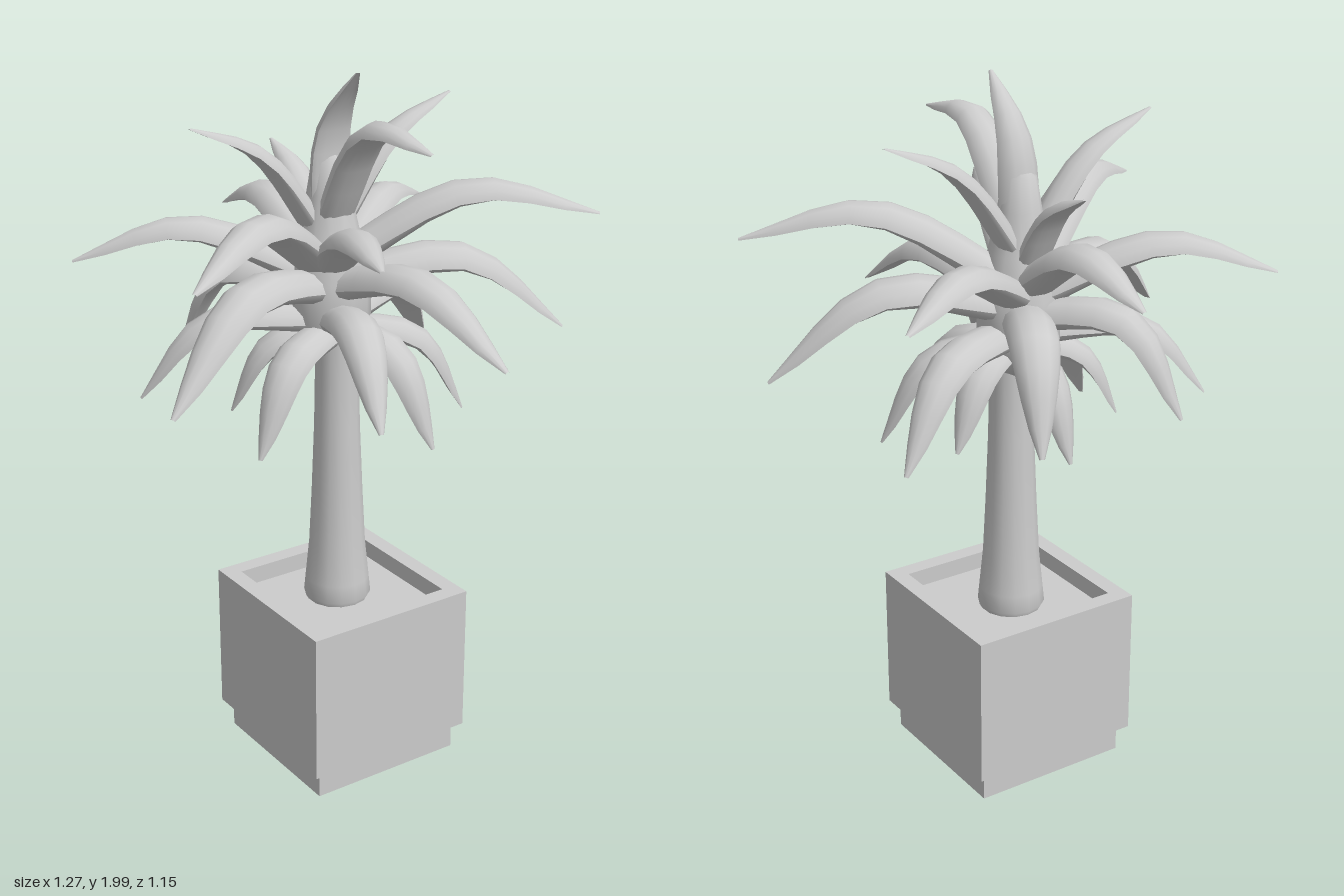
import * as THREE from 'three';

const grey = new THREE.MeshStandardMaterial({ color: 0xcccccc });
grey.name = 'plain grey';

// relative half-width of a frond from its root to its tip
const WIDTHS = [0.85, 0.92, 0.98, 1, 0.96, 0.85, 0.67, 0.43, 0.1];

// Arched leaf swept along a curve: a full, keeled root thinning to a crescent tip
function frondGeometry(root, mid, tip, halfWidth) {
  const curve = new THREE.CatmullRomCurve3([root, mid, tip]);
  const heading = tip.clone().sub(root).setY(0).normalize();
  const side = heading.clone().cross(new THREE.Vector3(0, 1, 0));
  const steps = WIDTHS.length - 1, arc = 6, ring = 2 * (arc + 1);
  const pos = [], index = [];
  for (let i = 0; i <= steps; i++) {
    const t = i / steps;
    const p = curve.getPointAt(t);
    const normal = side.clone().cross(curve.getTangentAt(t)).normalize();
    const w = halfWidth * WIDTHS[i];
    const keel = Math.min(0.2, 1.1 * t - 0.8);
    for (let j = 0; j < ring; j++) {
      const under = j > arc;
      const a = Math.PI * (under ? ring - 1 - j : j) / arc;
      const h = w * (0.8 * Math.sin(a) * (under ? keel : 1) - 0.3);
      const v = p.clone().addScaledVector(side, w * Math.cos(a)).addScaledVector(normal, h);
      pos.push(v.x, v.y, v.z);
    }
  }
  for (let i = 0; i < steps; i++) {
    for (let j = 0; j < ring - 1; j++) {
      if (j === arc) continue;
      const a = i * ring + j, b = a + ring;
      index.push(a, b, a + 1, b, b + 1, a + 1);
    }
  }
  const g = new THREE.BufferGeometry();
  g.setAttribute('position', new THREE.Float32BufferAttribute(pos, 3));
  g.setIndex(index);
  g.computeVertexNormals();
  return g;
}

// each frond: tip x, y, z, root height, mid height, mid fraction, half-width
const TOP = [
  [0, 1.99, 0.07, 1.5, 1.83, 0.2, 0.06],
  [0, 1.84, 0.39, 1.55, 1.85, 0.46, 0.06],
  [0, 1.74, -0.35, 1.48, 1.67, 0.5, 0.05],
  [0.41, 1.87, -0.08, 1.52, 1.77, 0.48, 0.048],
  [-0.41, 1.87, -0.08, 1.52, 1.77, 0.48, 0.048],
];
const UPPER = [
  [0.63, 1.58, 0.31, 1.45, 1.65, 0.52, 0.068],
  [-0.63, 1.58, 0.31, 1.45, 1.65, 0.52, 0.068],
  [0.53, 1.5, -0.38, 1.42, 1.56, 0.55, 0.065],
  [-0.59, 1.47, -0.42, 1.42, 1.56, 0.55, 0.065],
  [-0.22, 1.61, 0.49, 1.45, 1.61, 0.55, 0.065],
  [-0.02, 1.51, -0.58, 1.45, 1.59, 0.52, 0.07],
];
const MIDDLE = [
  [0.63, 1.22, 0.18, 1.4, 1.45, 0.55, 0.075],
  [-0.63, 1.22, 0.18, 1.4, 1.45, 0.55, 0.075],
  [0.11, 1.31, 0.57, 1.4, 1.47, 0.55, 0.072],
  [0.21, 1.14, -0.48, 1.38, 1.39, 0.66, 0.068],
  [-0.24, 1.14, -0.47, 1.38, 1.39, 0.66, 0.068],
];
const LOWER = [
  [0.48, 1.08, -0.27, 1.32, 1.31, 0.64, 0.065],
  [-0.48, 1.1, -0.27, 1.32, 1.31, 0.64, 0.065],
  [-0.16, 1.15, 0.41, 1.32, 1.35, 0.6, 0.065],
  [0.34, 1.01, 0.1, 1.29, 1.24, 0.62, 0.06],
  [-0.33, 1.01, 0.1, 1.29, 1.24, 0.62, 0.06],
  [0.12, 0.99, 0.26, 1.29, 1.24, 0.62, 0.065],
  [0.26, 1.05, -0.16, 1.29, 1.24, 0.62, 0.055],
  [-0.26, 1.05, -0.16, 1.29, 1.24, 0.62, 0.055],
  [-0.03, 0.99, -0.27, 1.29, 1.22, 0.62, 0.055],
];

export function createModel() {
  const model = new THREE.Group();
  model.name = 'pottedPalm';
  const add = (name, geometry, x, y, z, parent = model) => {
    const mesh = new THREE.Mesh(geometry, grey);
    mesh.name = name;
    mesh.position.set(x, y, z);
    parent.add(mesh);
  };

  // square planter: plinth, open box wall and soil
  add('planterPlinth', new THREE.BoxGeometry(0.465, 0.08, 0.465), -0.004, 0.04, 0);
  const square = (path, r) => path.moveTo(-r, -r).lineTo(r, -r).lineTo(r, r).lineTo(-r, r).closePath();
  const wall = square(new THREE.Shape(), 0.257);
  wall.holes.push(square(new THREE.Path(), 0.208));
  const wallGeometry = new THREE.ExtrudeGeometry(wall, { depth: 0.437, bevelEnabled: false });
  wallGeometry.rotateX(-Math.PI / 2);
  add('planterWall', wallGeometry, -0.005, 0.08, 0);
  add('soil', new THREE.BoxGeometry(0.42, 0.385, 0.42), -0.005, 0.2735, 0);

  // tapered trunk with a flared foot
  const trunk = [[0.08, 0.45], [0.096, 0.48], [0.091, 0.53], [0.08, 0.64], [0.072, 0.8],
    [0.064, 1.0], [0.06, 1.2], [0.06, 1.4]].map(([r, y]) => new THREE.Vector2(r, y));
  add('trunk', new THREE.LatheGeometry(trunk, 14), -0.003, 0, -0.022);

  // crown heart from which the fronds grow
  const heart = [[0, 1.18], [0.08, 1.22], [0.115, 1.3], [0.115, 1.42], [0.085, 1.54],
    [0.06, 1.65], [0.045, 1.74], [0, 1.78]].map(([r, y]) => new THREE.Vector2(r, y));
  add('crownHeart', new THREE.LatheGeometry(heart, 12), 0, 0, -0.065);

  // tiers of fronds
  const tiers = { topFrond: TOP, upperFrond: UPPER, middleFrond: MIDDLE, lowerFrond: LOWER };
  for (const [name, fronds] of Object.entries(tiers)) {
    const tier = new THREE.Group();
    tier.name = name + 's';
    model.add(tier);
    for (const [x, y, z, rootY, midY, f, w] of fronds) {
      const rootZ = name === 'lowerFrond' ? -0.04 : -0.08;
      const root = new THREE.Vector3(0, rootY, rootZ);
      const tip = new THREE.Vector3(x, y, z);
      const mid = root.clone().lerp(tip, f).setY(midY);
      add(name, frondGeometry(root, mid, tip, w), 0, 0, 0, tier);
    }
  }
  return model;
}
